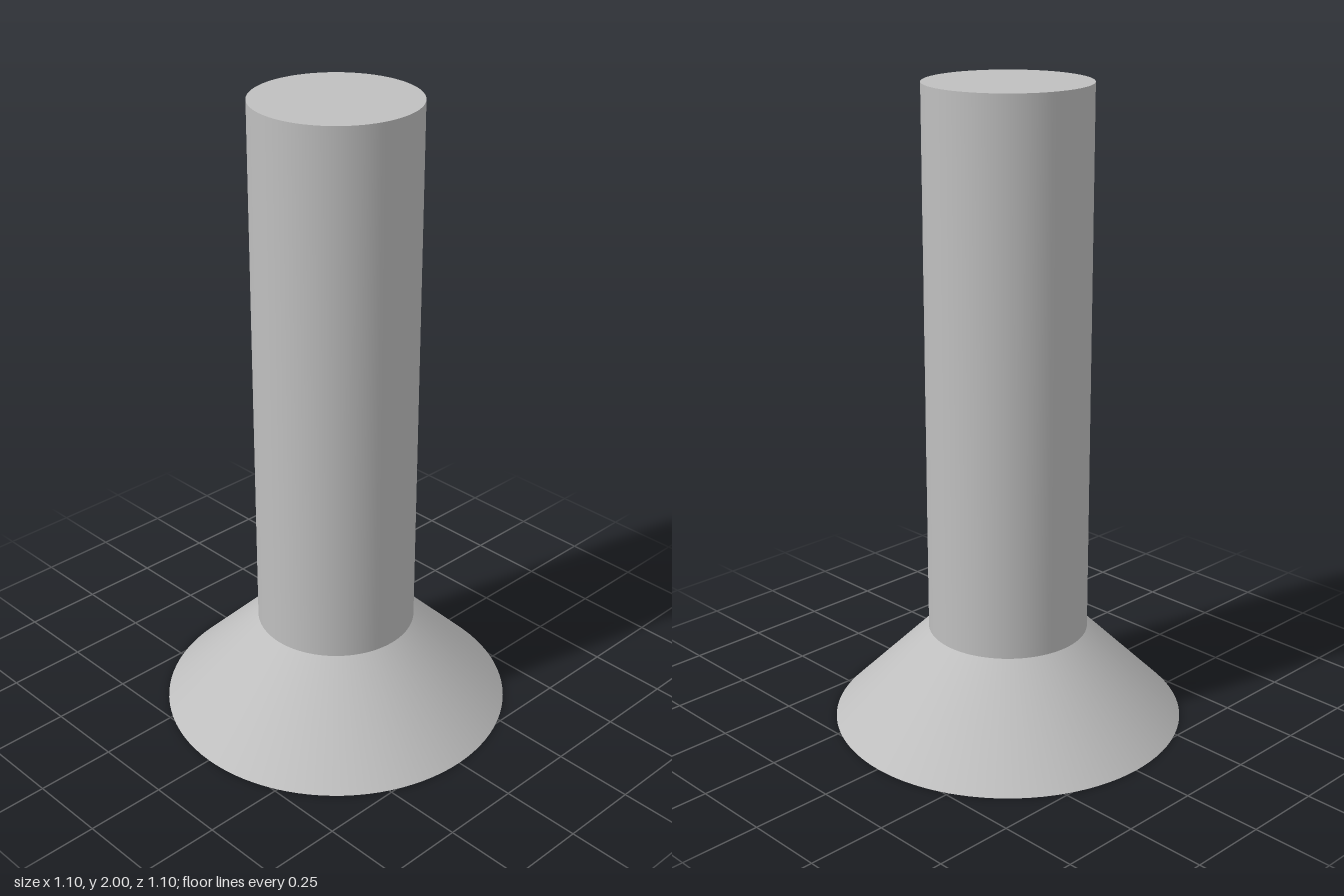
import * as THREE from 'three';

const SEGMENTS = 96;
const SHANK_R = 0.25, HEAD_R = 0.55, HEAD_H = 0.3, HEIGHT = 2;
const SOCKET_R = 0.18, SOCKET_DEPTH = 0.18;

export function createModel() {
  const steel = new THREE.MeshStandardMaterial({ color: 0xbfbfbf });
  steel.name = 'steel';
  const group = new THREE.Group();
  group.name = 'countersunkScrew';

  const add = (name, geometry, y) => {
    const mesh = new THREE.Mesh(geometry, steel);
    mesh.name = name;
    mesh.position.y = y;
    group.add(mesh);
  };

  // Plain shank and its flat end
  const shankH = HEIGHT - HEAD_H;
  add('shank', new THREE.CylinderGeometry(SHANK_R, SHANK_R, shankH, SEGMENTS, 1, true), HEAD_H + shankH / 2);
  add('shankEnd', new THREE.CircleGeometry(SHANK_R, SEGMENTS).rotateX(-Math.PI / 2), HEIGHT);

  // Conical head
  add('headCone', new THREE.CylinderGeometry(SHANK_R, HEAD_R, HEAD_H, SEGMENTS, 1, true), HEAD_H / 2);

  // Flat drive face with a hexagonal opening, corners on the z axis
  const face = new THREE.Shape().absarc(0, 0, HEAD_R, 0, Math.PI * 2, false);
  const corners = Array.from({ length: 6 }, (_, i) => {
    const a = Math.PI / 2 - i * Math.PI / 3;
    return new THREE.Vector2(Math.cos(a) * SOCKET_R, Math.sin(a) * SOCKET_R);
  });
  face.holes.push(new THREE.Path(corners));
  add('headFace', new THREE.ShapeGeometry(face, SEGMENTS / 2).rotateX(Math.PI / 2), 0);

  // Socket walls, turned to face inwards with flat sides
  const prism = new THREE.CylinderGeometry(SOCKET_R, SOCKET_R, SOCKET_DEPTH, 6, 1, true);
  prism.setIndex(Array.from(prism.index.array).reverse());
  const walls = prism.toNonIndexed();
  walls.computeVertexNormals();
  add('socketWalls', walls, SOCKET_DEPTH / 2);

  // Socket floor
  add('socketFloor', new THREE.CircleGeometry(SOCKET_R, 6, Math.PI / 2).rotateX(Math.PI / 2), SOCKET_DEPTH);

  return group;
}
